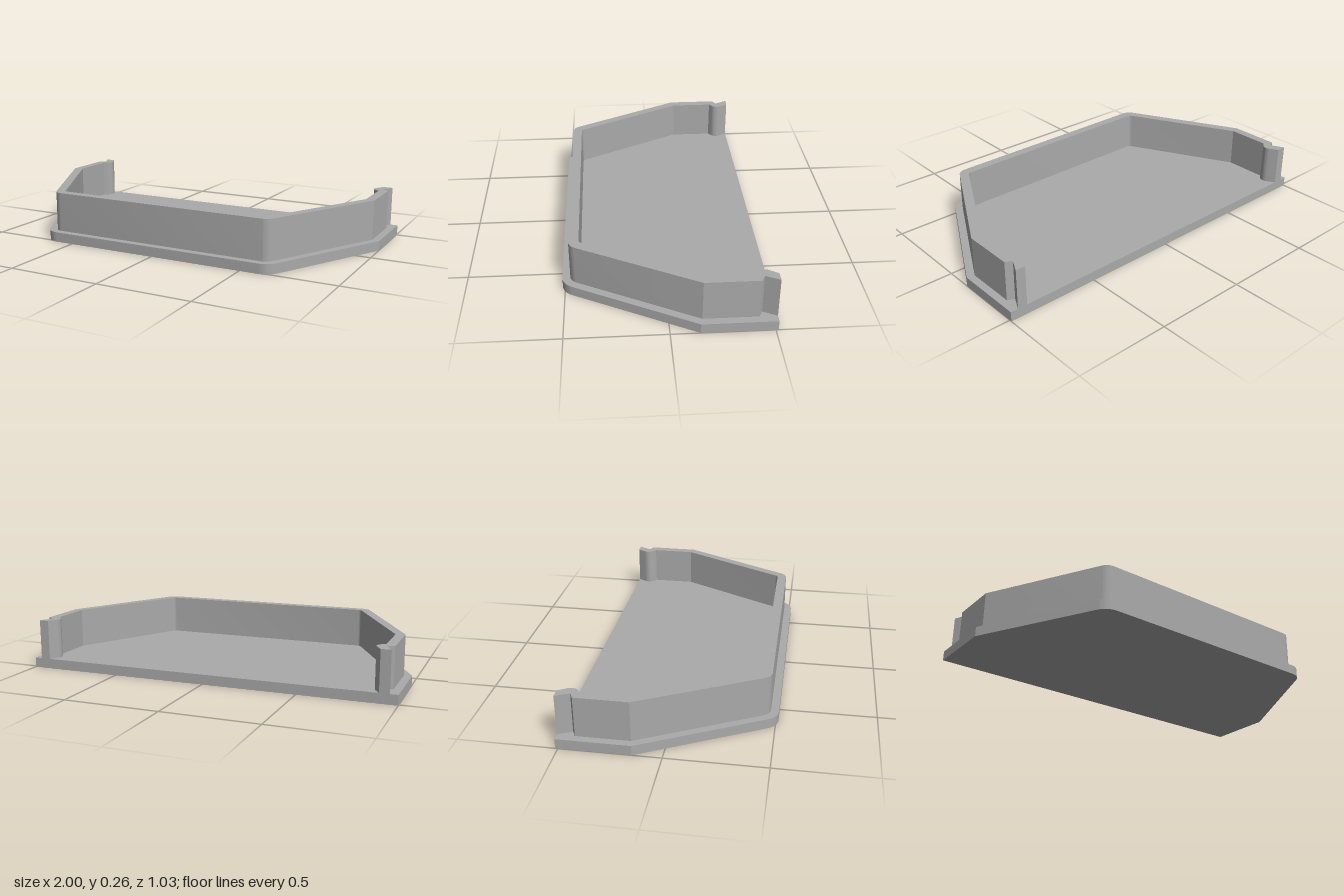
import * as THREE from 'three';
import { toCreasedNormals } from 'three/addons/utils/BufferGeometryUtils.js';

// Closed outline of [x, z, radius] corners, with the given corners rounded
function roundedOutline(corners) {
  const out = [];
  const n = corners.length;
  corners.forEach(([x, z, r], i) => {
    const p = new THREE.Vector2(x, -z);
    if (!r) { out.push(p); return; }
    const toward = (c) => new THREE.Vector2(c[0], -c[1]).sub(p).normalize();
    const a = toward(corners[(i + n - 1) % n]);
    const b = toward(corners[(i + 1) % n]);
    const half = Math.acos(a.dot(b)) / 2;
    const centre = a.clone().add(b).normalize().multiplyScalar(r / Math.sin(half)).add(p);
    const start = a.clone().multiplyScalar(r / Math.tan(half)).add(p).sub(centre);
    const sweep = (Math.PI - 2 * half) * (a.cross(b) > 0 ? -1 : 1);
    const steps = 10;
    for (let k = 0; k <= steps; k++) {
      out.push(start.clone().rotateAround(new THREE.Vector2(), sweep * k / steps).add(centre));
    }
  });
  return out;
}

// Mirror a half outline running back to front on the +x side
const mirrored = (half) => [...half, ...half.map(([x, z, r]) => [-x, z, r]).reverse()];

// Upright slab from an outline in the ground plane
function slab(name, corners, bottom, top, material) {
  const geo = new THREE.ExtrudeGeometry(new THREE.Shape(roundedOutline(corners)), {
    depth: top - bottom, bevelEnabled: false,
  });
  geo.rotateX(-Math.PI / 2);
  geo.translate(0, bottom, 0);
  const mesh = new THREE.Mesh(toCreasedNormals(geo, Math.PI / 9), material);
  mesh.name = name;
  return mesh;
}

export function createModel() {
  const group = new THREE.Group();
  group.name = 'tray';
  const grey = new THREE.MeshStandardMaterial({ color: 0xaaaaaa });
  grey.name = 'plain grey';

  // Base plate: straight back, tapered sides, rounded front corners
  const plate = [[1, -0.513, 0], [1, -0.145, 0], [0.653, 0.513, 0.09]];
  group.add(slab('basePlate', mirrored(plate), 0, 0.052, grey));

  // Rim wall, open at the back, with a notch outside and a rounded rib inside each end
  const outer = [
    [0.96, -0.513, 0], [0.925, -0.443, 0], [0.96, -0.425, 0],
    [0.96, -0.155, 0], [0.629, 0.473, 0.06],
  ];
  const inner = [
    [0.908, -0.513, 0], [0.862, -0.437, 0.04], [0.912, -0.4, 0],
    [0.912, -0.168, 0], [0.6, 0.422, 0.025],
  ];
  const rim = [...mirrored(outer), ...mirrored(inner).reverse()];
  group.add(slab('rimWall', rim, 0.052, 0.264, grey));

  return group;
}
